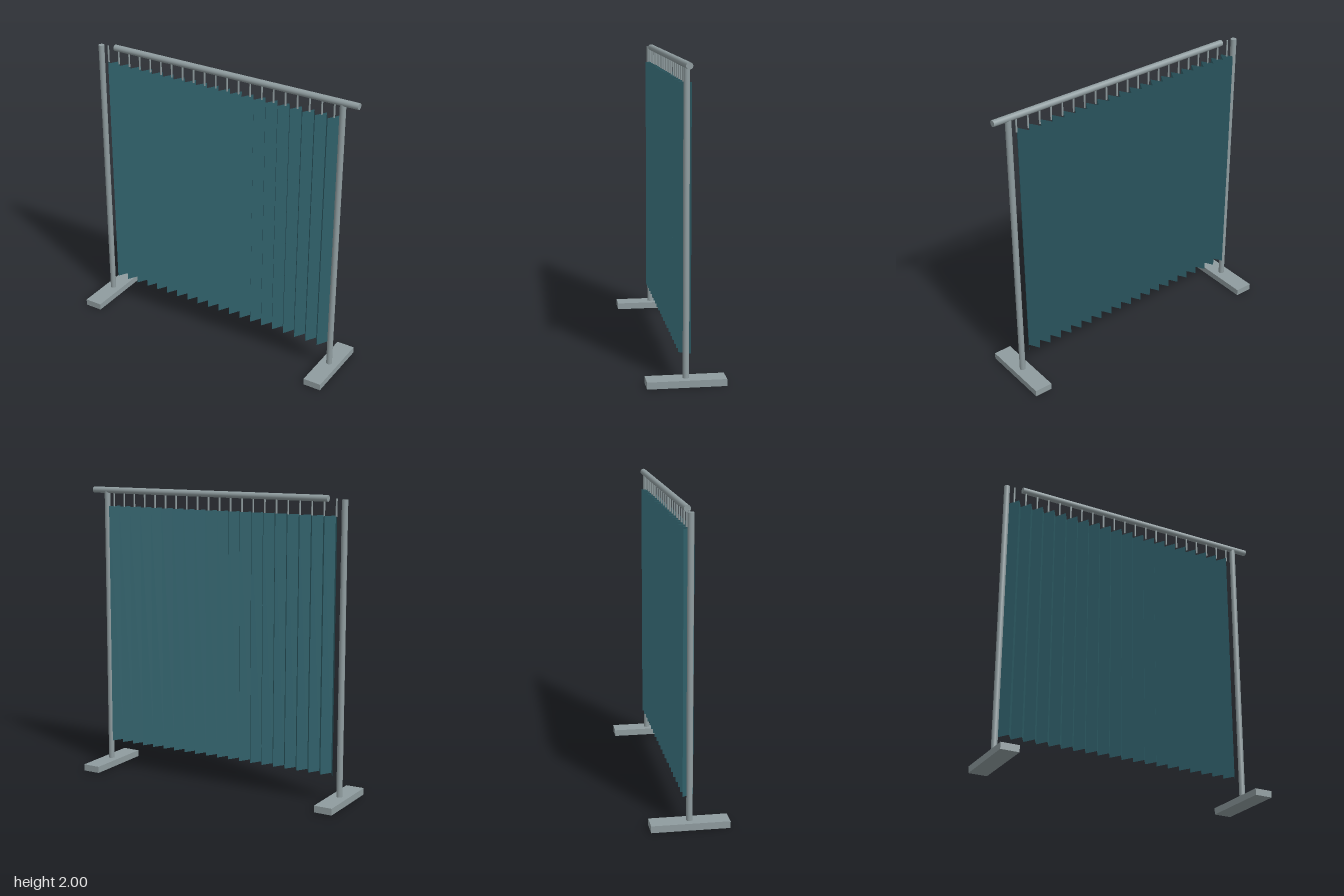
import * as THREE from 'three';

const metal = new THREE.MeshStandardMaterial({ color: 0x8f9c9f });
metal.name = 'grey metal';
const cloth = new THREE.MeshStandardMaterial({ color: 0x2f5f69, side: THREE.DoubleSide });
cloth.name = 'teal cloth';

export function createModel() {
  const model = new THREE.Group();
  model.name = 'curtainScreen';

  const add = (name, geometry, material, x, y, z = 0) => {
    const mesh = new THREE.Mesh(geometry, material);
    mesh.name = name;
    mesh.position.set(x, y, z);
    model.add(mesh);
    return mesh;
  };

  // Two uprights, each on a flat foot
  for (const [side, x] of [['right', -0.935], ['left', 0.88]]) {
    add(side + 'Foot', new THREE.BoxGeometry(0.125, 0.045, 0.5), metal, x, 0.0225);
    add(side + 'Post', new THREE.CylinderGeometry(0.02, 0.02, 1.935, 24), metal, x, 1.0075);
  }

  // Top rail, set off towards the left post
  add('rail', new THREE.CylinderGeometry(0.0215, 0.0215, 1.81, 24), metal, 0.085, 1.9785)
    .rotation.z = Math.PI / 2;

  // Pleated curtain: a plane whose columns alternate between back and front
  const x0 = -0.9, width = 1.742, folds = 40;
  const plane = new THREE.PlaneGeometry(width, 1.685, folds, 1);
  const pos = plane.attributes.position;
  for (let i = 0; i < pos.count; i++) {
    pos.setZ(i, (i % (folds + 1)) % 2 ? 0.037 : -0.037);
  }
  const pleats = plane.toNonIndexed();
  pleats.computeVertexNormals();
  add('curtain', pleats, cloth, x0 + width / 2, 1.0275);

  // Hooks between curtain and rail
  const hook = new THREE.CylinderGeometry(0.006, 0.006, 0.115, 10);
  for (let i = 0; i <= 20; i++) {
    add('hook' + (i + 1), hook, metal, -0.878 + i * 0.0851, 1.9225);
  }

  return model;
}
